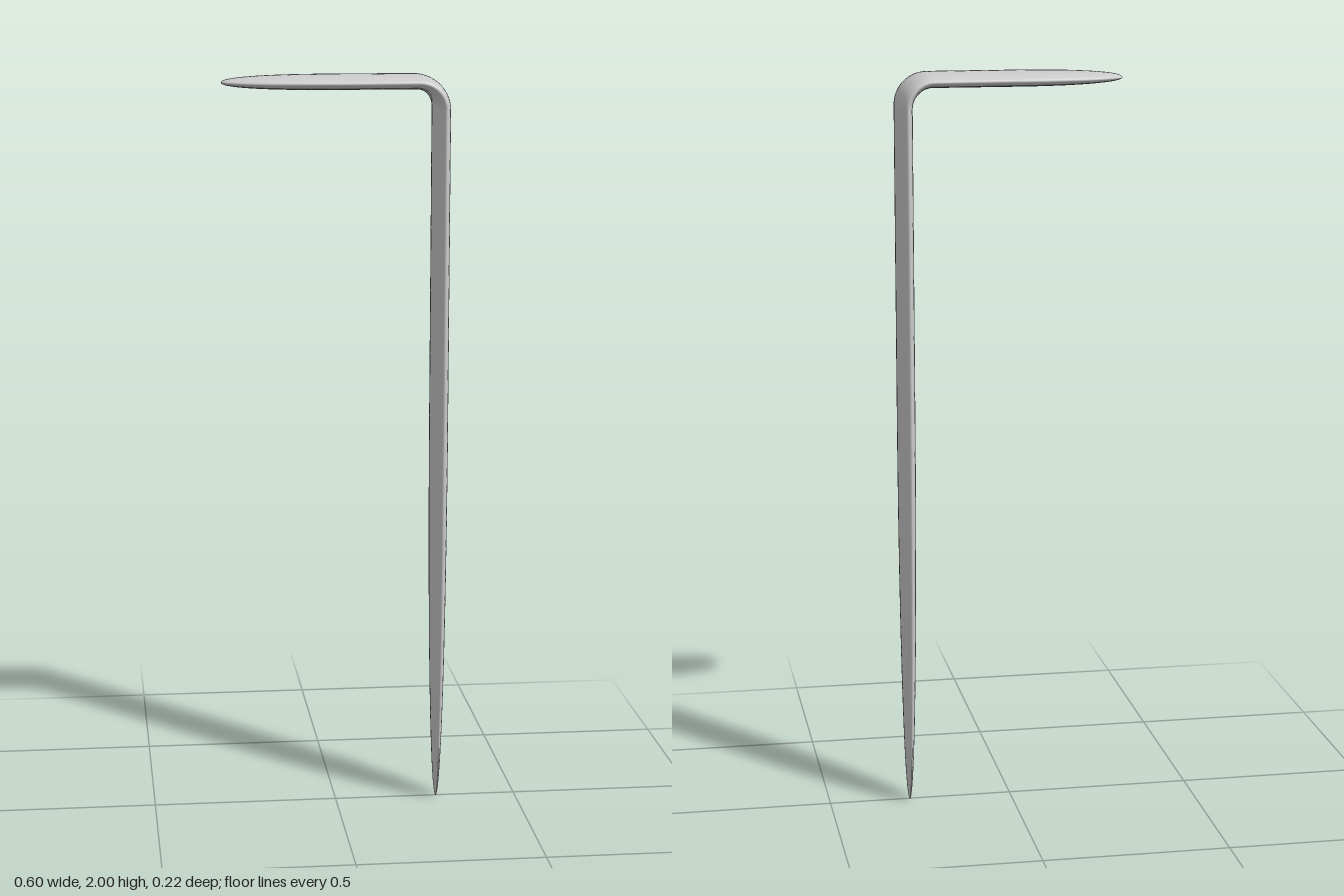
import * as THREE from 'three';

const HALF_WIDTH = 0.111, HALF_THICK = 0.02, BEND = 0.07, SIDES = 40;
const ARM_Y = 1.98, LEG_X = 0.28; // centre lines of the two straight runs

// Rounded taper: 0 at the tip (t = 1), full size at t = 0
const taper = (t, n) => Math.pow(Math.max(0, 1 - Math.pow(t, n)), 1 / n);

// Stations along the bent strip: centre, bend angle (0 = arm, PI/2 = leg), scale
function stations() {
  const list = [];
  const add = (x, y, angle, scale) => list.push({ x, y, angle, scale });
  const quarter = Math.PI / 2, cx = LEG_X - BEND, cy = ARM_Y - BEND;

  // short arm, from its rounded tip to the straight part
  for (let i = 0; i <= 20; i++) {
    const t = Math.cos(i / 20 * quarter);
    add(-0.3 * t, ARM_Y, 0, taper(t, 2.35));
  }
  add(0.1, ARM_Y, 0, 1);
  // bend
  for (let i = 0; i <= 14; i++) {
    const a = i / 14 * quarter;
    add(cx + BEND * Math.sin(a), cy + BEND * Math.cos(a), a, 1);
  }
  // long leg, straight and then tapering to its tip
  add(LEG_X, 1.6, quarter, 1);
  add(LEG_X, 1.3, quarter, 1);
  for (let i = 0; i <= 28; i++) {
    const t = Math.sin(i / 28 * quarter);
    add(LEG_X, 1.1 - 1.096 * t, quarter, taper(t, 2.1));
  }
  return list;
}

// Flat elliptical section swept through the stations
function sweep(list) {
  const pos = [], index = [];
  list.forEach(({ x, y, angle, scale }, i) => {
    for (let j = 0; j < SIDES; j++) {
      const u = j / SIDES * Math.PI * 2;
      const h = HALF_THICK * scale * Math.cos(u);
      pos.push(x + h * Math.sin(angle), y + h * Math.cos(angle), HALF_WIDTH * scale * Math.sin(u));
      if (i === list.length - 1) continue;
      const a = i * SIDES + j, b = i * SIDES + (j + 1) % SIDES;
      index.push(a, b, a + SIDES, b, b + SIDES, a + SIDES);
    }
  });
  const geo = new THREE.BufferGeometry();
  geo.setAttribute('position', new THREE.Float32BufferAttribute(pos, 3));
  geo.setIndex(index);
  geo.computeVertexNormals();
  return geo;
}

export function createModel() {
  const group = new THREE.Group();
  group.name = 'bentBlade';
  const blade = new THREE.Mesh(sweep(stations()), new THREE.MeshStandardMaterial({ color: 0xcccccc }));
  blade.name = 'blade';
  group.add(blade);
  return group;
}
